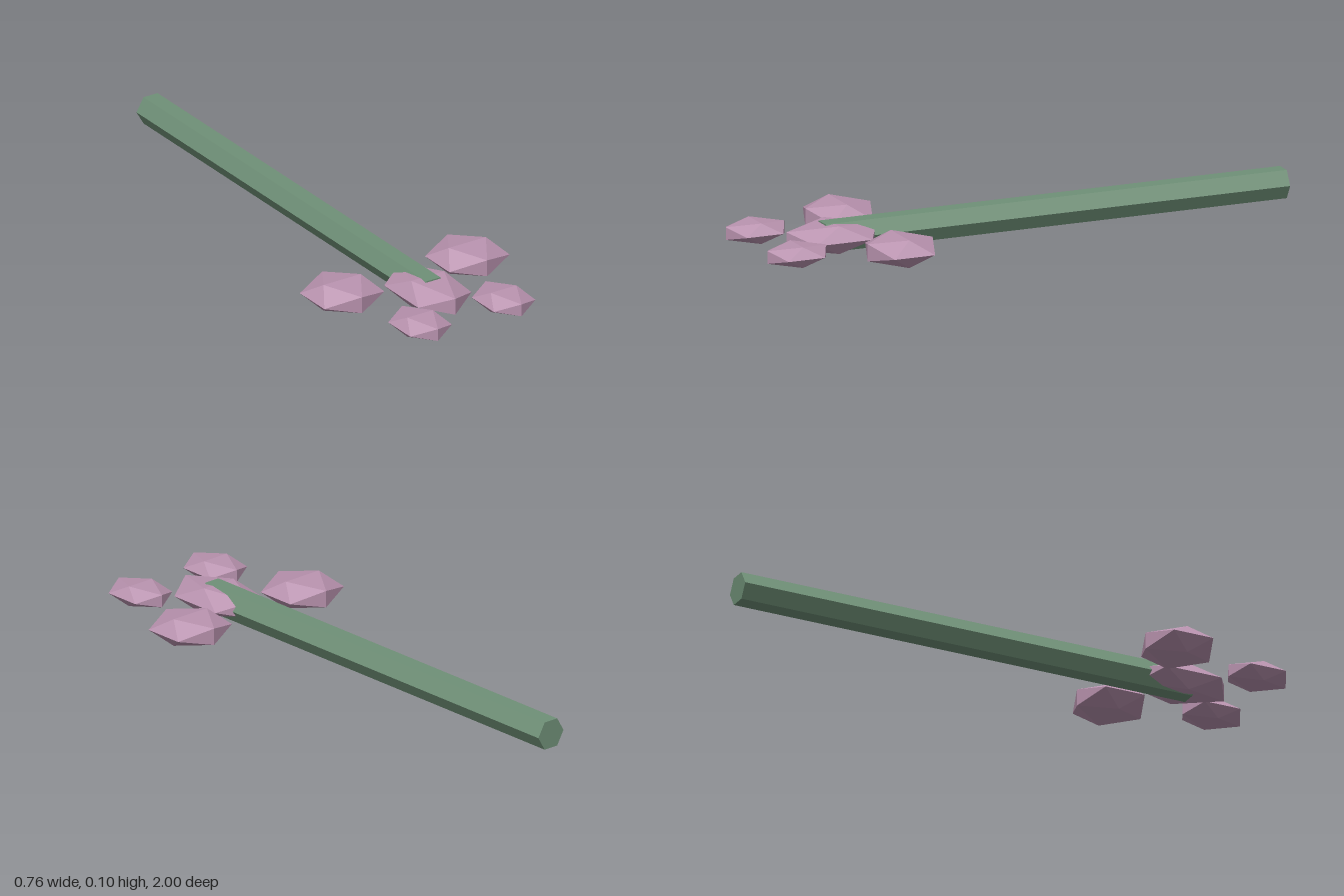
import * as THREE from 'three';

export function createModel() {
  const model = new THREE.Group();
  const green = new THREE.MeshStandardMaterial({ color: 0x6f9077, flatShading: true });
  green.name = 'stem green';
  const pink = new THREE.MeshStandardMaterial({ color: 0xb892ae, flatShading: true });
  pink.name = 'petal pink';
  const midY = 0.05;

  function add(name, geometry, material, x, z) {
    const mesh = new THREE.Mesh(geometry, material);
    mesh.name = name;
    mesh.position.set(x, midY, z);
    model.add(mesh);
  }

  // Faceted lump with the given half extents
  const reach = new THREE.IcosahedronGeometry(1, 0);
  reach.computeBoundingBox();
  const unit = reach.boundingBox.max.x;
  const lump = (hx, hy, hz) =>
    new THREE.IcosahedronGeometry(1, 0).scale(hx / unit, hy / unit, hz / unit);

  // Six-sided stem lying along z, flat faces up and down
  const back = -1, front = 0.718;
  const stem = new THREE.CylinderGeometry(0.0573, 0.0573, front - back, 6)
    .rotateY(Math.PI / 2)
    .rotateX(Math.PI / 2);
  add('stem', stem, green, 0, (front + back) / 2);

  // Central pad around the stem end
  add('centrePad', lump(0.109, 0.0485, 0.168), pink, 0, 0.684);

  // Outer and front pads, mirrored
  for (const [side, s] of [['left', 1], ['right', -1]]) {
    add(side + 'OuterPad', lump(0.123, 0.0485, 0.121), pink, s * 0.256, 0.544);
    add(side + 'FrontPad', lump(0.085, 0.036, 0.109), pink, s * 0.171, 0.891);
  }
  return model;
}
